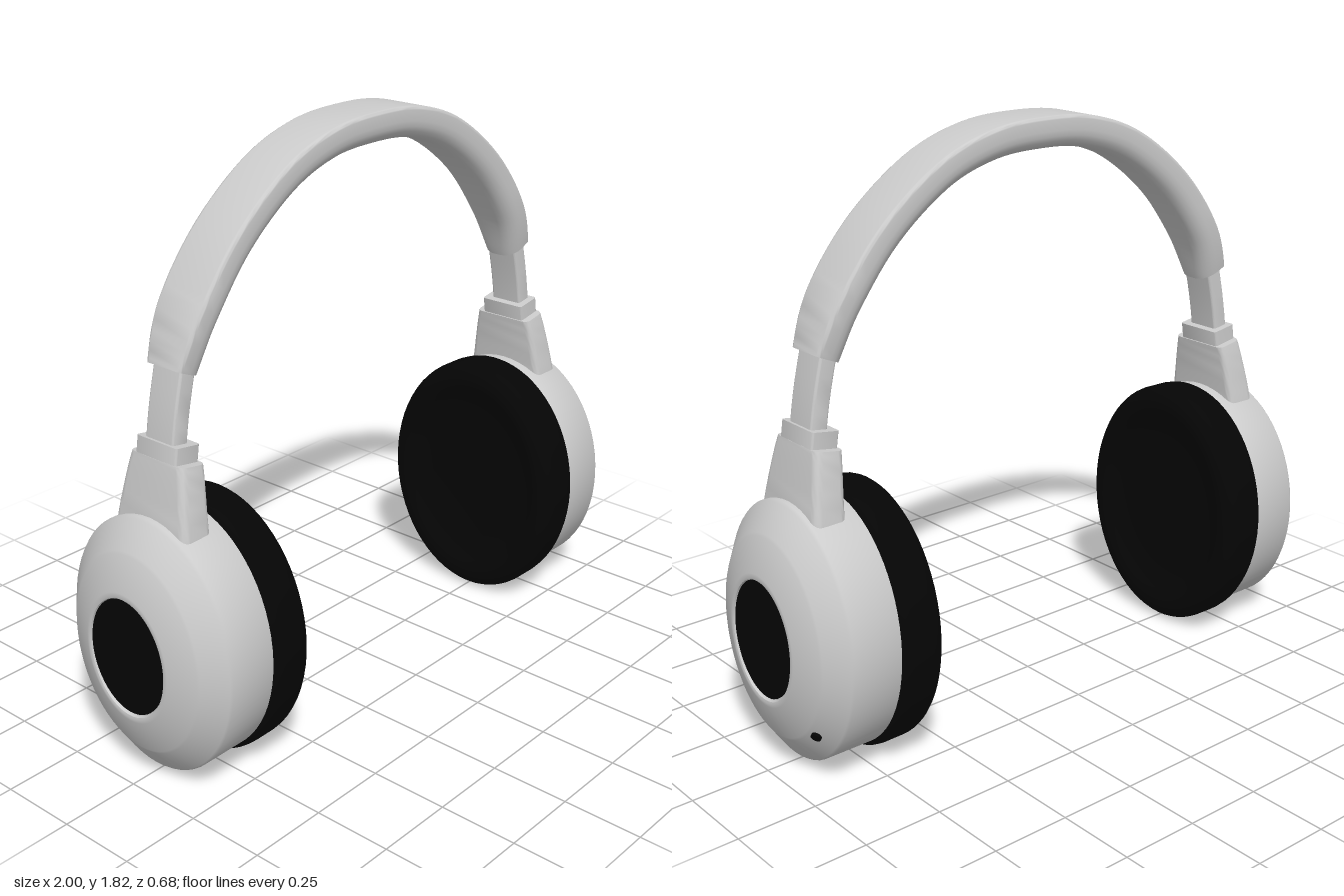
import * as THREE from 'three';
import { toCreasedNormals } from 'three/addons/utils/BufferGeometryUtils.js';

const grey = new THREE.MeshStandardMaterial({ color: 0xcccccc });
const black = new THREE.MeshStandardMaterial({ color: 0x050505 });

function mesh(name, geometry, material, crease = 0.9) {
  const m = new THREE.Mesh(toCreasedNormals(geometry, crease), material);
  m.name = name;
  return m;
}

// Rounded outline in (outward, z); the outer and inner corners have their own radii
function outline(halfN, halfZ, outer, inner, steps = 5) {
  const pts = [];
  [[1, 1, outer], [-1, 1, inner], [-1, -1, inner], [1, -1, outer]].forEach(([sn, sz, [rn, rz]], c) => {
    for (let i = 0; i <= steps; i++) {
      const a = (c + i / steps) * Math.PI / 2;
      pts.push([sn * (halfN - rn) + rn * Math.cos(a), sz * (halfZ - rz) + rz * Math.sin(a)]);
    }
  });
  return pts;
}

// Sweep an outline along a path in the xy plane, with closed ends
function sweep(path, outlineAt, segments) {
  const pos = [], idx = [];
  let n = 0;
  const centres = [];
  for (let i = 0; i <= segments; i++) {
    const t = i / segments, p = path.getPoint(t), d = path.getTangent(t);
    const ring = outlineAt(p);
    n = ring.length;
    centres.push(p);
    for (const [o, z] of ring) pos.push(p.x + d.y * o, p.y - d.x * o, z);
  }
  const start = pos.length / 3, end = start + 1, last = segments * n;
  for (const p of [centres[0], centres[segments]]) pos.push(p.x, p.y, 0);
  for (let j = 0; j < n; j++) {
    const k = (j + 1) % n;
    for (let i = 0; i < segments; i++) {
      const a = i * n, b = a + n;
      idx.push(a + j, b + k, a + k, a + j, b + j, b + k);
    }
    idx.push(start, j, k, end, last + k, last + j);
  }
  const g = new THREE.BufferGeometry();
  g.setAttribute('position', new THREE.Float32BufferAttribute(pos, 3));
  g.setIndex(idx);
  return g;
}

const curve = (pts) => new THREE.SplineCurve(pts.map(([x, y]) => new THREE.Vector2(x, y)));
const even = (r) => [r, r];

// Oval turned part around the x axis: profile of [radius, x]
function oval(profile, ry, rz) {
  const g = new THREE.LatheGeometry(profile.map(([r, x]) => new THREE.Vector2(r, x)), 64);
  return g.rotateZ(-Math.PI / 2).scale(1, ry, rz);
}

// One ear side, built at +x
function earSide() {
  const side = new THREE.Group();

  const shell = mesh('earCupShell', oval([
    [0, 0.73], [0.99, 0.73], [1, 0.74], [1, 0.898], [0.985, 0.906], [0.79, 0.96],
    [0.77, 0.965], [0.51, 0.998], [0.48, 1], [0.465, 0.998], [0.455, 0.99], [0, 0.99],
  ], 0.4, 0.325), grey, 0.7);
  shell.position.y = 0.42;

  const disc = mesh('outerDisc', oval([[0, 0.98], [0.99, 0.98], [1, 0.993], [0, 0.996]], 0.183, 0.15), black);
  disc.position.y = 0.425;

  // Cushion with rounded edges and a dish on the ear side
  const profile = [[0, 0.045], [0.55, 0.044], [0.68, 0.036], [0.76, 0.016], [0.8, 0.005], [0.84, 0]];
  for (let i = 0; i <= 6; i++) {
    const a = i / 6 * Math.PI / 2;
    profile.push([0.87 + 0.13 * Math.sin(a), 0.05 - 0.05 * Math.cos(a)]);
  }
  profile.push([1, 0.115], [0.993, 0.135], [0.975, 0.149], [0.95, 0.155], [0, 0.155]);
  const pad = mesh('earPad', oval(profile, 0.417, 0.338), black, 1.2);
  pad.position.set(0.586, 0.418, 0);
  pad.rotation.z = -0.014;

  // Flared yoke rising out of the cup
  const yokePath = curve([[0.842, 0.7], [0.834, 0.8], [0.817, 0.92], [0.807, 0.98]]);
  const yoke = mesh('yoke', sweep(yokePath, (p) => {
    const f = THREE.MathUtils.clamp((0.985 - p.y) / 0.185, 0, 1.3);
    return outline(0.047 + 0.006 * f, 0.103 + 0.036 * Math.pow(f, 0.8), even(0.024), even(0.02));
  }, 10), grey);

  const collar = mesh('collar', sweep(curve([[0.811, 0.965], [0.801, 1.03]]),
    () => outline(0.045, 0.08, even(0.008), even(0.008)), 1), grey, 0.6);

  const slider = mesh('slider', sweep(curve([[0.815, 0.97], [0.803, 1.06], [0.786, 1.15], [0.762, 1.25]]),
    () => outline(0.028, 0.056, even(0.008), even(0.008)), 8), grey, 0.6);

  side.add(shell, disc, pad, yoke, collar, slider);
  return side;
}

export function createModel() {
  const model = new THREE.Group();
  model.name = 'headphones';

  // Padded headband: flat on top, rounded underneath, narrower at the ends
  const half = [[0.765, 1.225], [0.7, 1.372], [0.56, 1.548], [0.37, 1.69], [0.185, 1.757]];
  const path = curve([...half, [0, 1.772], ...half.map(([x, y]) => [-x, y]).reverse()]);
  const band = mesh('headband', sweep(path, (p) => {
    const f = THREE.MathUtils.clamp((p.y - 1.225) / 0.23, 0, 1);
    const w = 0.066 + 0.024 * (1 - (1 - f) * (1 - f));
    return outline(0.05, w, even(0.012), [0.055, 0.05]);
  }, 64), grey);
  model.add(band);

  const left = earSide();
  left.name = 'leftEar';
  const right = earSide();
  right.name = 'rightEar';
  right.rotation.y = Math.PI;
  model.add(left, right);

  // Small indicator on the left cup only
  const dot = mesh('indicator', new THREE.CylinderGeometry(0.016, 0.016, 0.03, 20).rotateZ(-Math.PI / 2), black);
  dot.position.set(0.94, 0.18, -0.185);
  dot.rotation.set(0, 0.5, -0.5);
  left.add(dot);

  return model;
}
